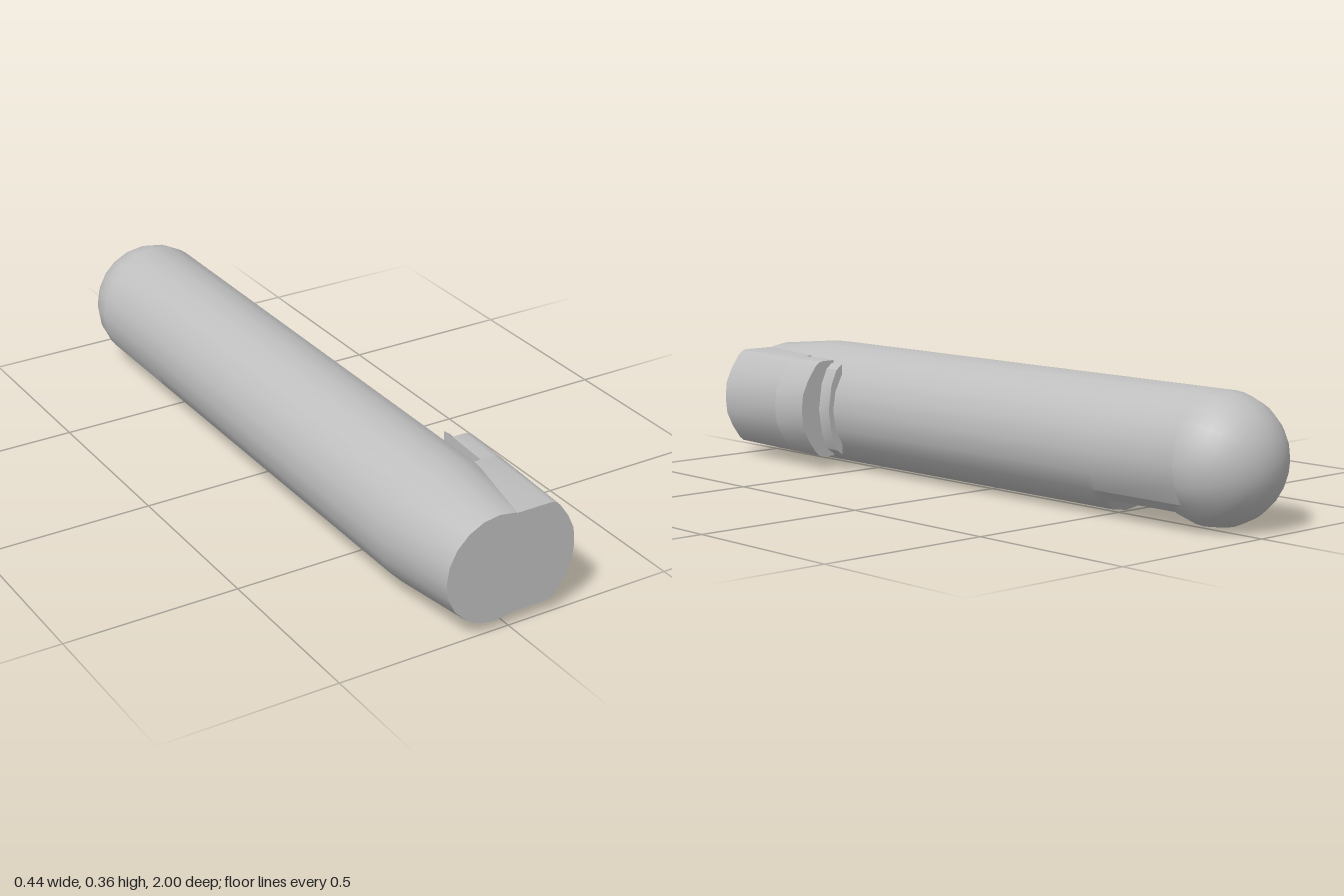
import * as THREE from 'three';
import { toCreasedNormals } from 'three/addons/utils/BufferGeometryUtils.js';

const SIDES = 20, CX = -0.04, CY = 0.18, R = 0.18;

// Skin over round sections [z, radius, lowest offset below the axis]
function loft(sections) {
  const pos = [], idx = [];
  sections.forEach(([z, r, floor]) => {
    for (let j = 0; j < SIDES; j++) {
      const a = (j / SIDES) * Math.PI * 2;
      pos.push(Math.cos(a) * r, Math.max(Math.sin(a) * r, -floor), z);
    }
  });
  for (let i = 0; i < sections.length - 1; i++) {
    for (let j = 0; j < SIDES; j++) {
      const a = i * SIDES + j, b = i * SIDES + (j + 1) % SIDES;
      idx.push(a, b, a + SIDES, b, b + SIDES, a + SIDES);
    }
  }
  const g = new THREE.BufferGeometry();
  g.setAttribute('position', new THREE.Float32BufferAttribute(pos, 3));
  g.setIndex(idx);
  return toCreasedNormals(g, 0.4);
}

// Solid from an upper outline mirrored about the axis height, leaning outward to the back
function leaningSolid(upper, z0, z1) {
  const lower = upper.filter(p => p[1] > 0).map(([x, y]) => [x, -y]).reverse();
  const shape = new THREE.Shape([...upper, ...lower].map(([x, y]) => new THREE.Vector2(x, y)));
  const g = new THREE.ExtrudeGeometry(shape, { depth: z1 - z0, bevelEnabled: false });
  g.translate(0, CY, z0);
  const p = g.attributes.position;
  for (let i = 0; i < p.count; i++) p.setX(i, p.getX(i) + (1 - p.getZ(i)) * 0.056);
  return toCreasedNormals(g, 0.5);
}

export function createModel() {
  const group = new THREE.Group();
  const grey = new THREE.MeshStandardMaterial({ color: 0xbfbfbf });
  grey.name = 'grey';
  const add = (name, geometry, x = 0, y = 0, z = 0) => {
    const mesh = new THREE.Mesh(geometry, grey);
    mesh.name = name;
    mesh.position.set(x, y, z);
    group.add(mesh);
  };

  // Long barrel: flat notch underneath near the back, taper at the front
  add('barrel', loft([
    [-0.82, R, 0.135], [-0.52, R, 0.135], [-0.49, R, R], [0.74, R, R], [1, 0.153, R],
  ]), CX, CY);
  add('frontCap', new THREE.CircleGeometry(0.153, SIDES), CX, CY, 1);

  // Round back end
  add('roundEnd', new THREE.SphereGeometry(R, SIDES, 20).rotateX(Math.PI / 2), CX, CY, -0.82);

  // Side clip: joined to the barrel in front, standing clear of it behind
  const outer = [[0.195, 0], [0.19, 0.048], [0.17, 0.09], [0.143, 0.128], [0.13, 0.139], [0.115, 0.143]];
  add('clipFront', leaningSolid([...outer, [-0.02, 0.143]], 0.73, 1));
  add('clipRear', leaningSolid([...outer, [0.075, 0.143]], 0.59, 0.73));

  // Thin curved lip behind the clip
  add('clipLip', leaningSolid([[0.131, 0], [0.12, 0.075], [0.1, 0.12], [0.08, 0.135]], 0.54, 0.59));
  return group;
}
